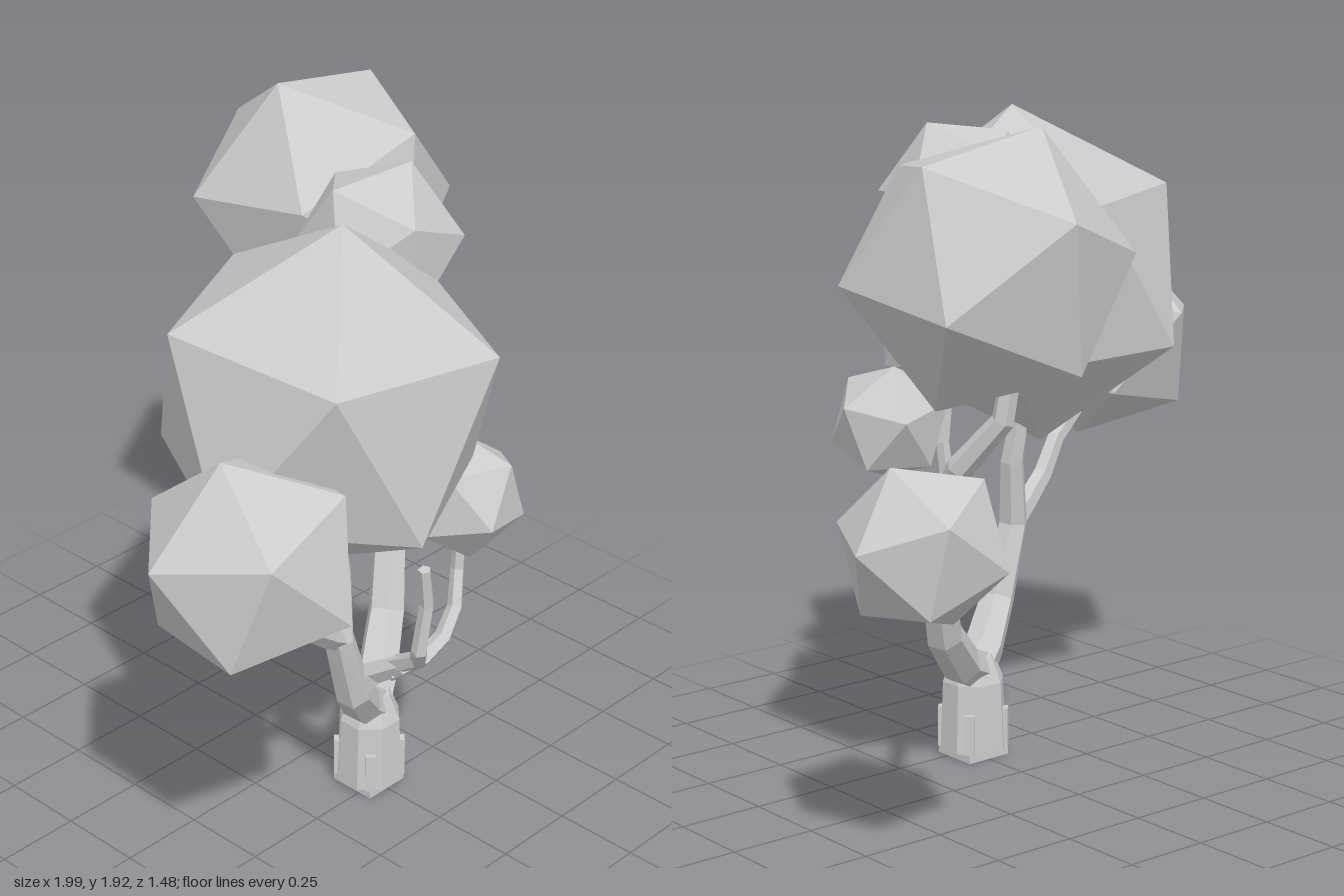
import * as THREE from 'three';

const V = (p) => new THREE.Vector3(...p);

export function createModel() {
  const tree = new THREE.Group();
  tree.name = 'tree';
  const material = new THREE.MeshStandardMaterial({ color: 0xcccccc, flatShading: true });

  function add(name, geometry, x = 0, y = 0, z = 0) {
    const mesh = new THREE.Mesh(geometry, material);
    mesh.name = name;
    mesh.position.set(x, y, z);
    tree.add(mesh);
    return mesh;
  }

  // Orthonormal frame from two neighbouring directions
  function frame(a, b) {
    const x = a.clone().normalize();
    const z = a.clone().cross(b).normalize();
    return new THREE.Matrix4().makeBasis(x, z.clone().cross(x), z);
  }

  // Icosahedral leaf cluster, turned so two adjacent corners point along d1 and d2
  const t = (1 + Math.sqrt(5)) / 2;
  const localFrame = frame(V([-1, t, 0]), V([1, t, 0])).transpose();
  function crown(name, centre, radius, d1, d2) {
    const g = new THREE.IcosahedronGeometry(radius, 0);
    g.applyMatrix4(frame(V(d1), V(d2)).multiply(localFrame));
    add(name, g, ...centre);
  }

  // Tapered faceted limb through a list of points, closed at both ends
  function limb(name, path, r0, r1, sides = 6) {
    const pts = path.map(V), n = pts.length;
    const pos = [], index = [];
    const normal = new THREE.Vector3(0, 0, 1);
    pts.forEach((p, i) => {
      const before = p.clone().sub(pts[Math.max(i - 1, 0)]).normalize();
      const after = pts[Math.min(i + 1, n - 1)].clone().sub(p).normalize();
      const tangent = before.add(after).normalize();
      normal.addScaledVector(tangent, -normal.dot(tangent)).normalize();
      const side = tangent.clone().cross(normal);
      const r = THREE.MathUtils.lerp(r0, r1, i / (n - 1));
      for (let k = 0; k < sides; k++) {
        const a = (k / sides) * Math.PI * 2;
        const q = p.clone().addScaledVector(normal, r * Math.cos(a)).addScaledVector(side, r * Math.sin(a));
        pos.push(q.x, q.y, q.z);
        if (i < n - 1) {
          const A = i * sides + k, B = i * sides + (k + 1) % sides;
          index.push(A, B, A + sides, B, B + sides, A + sides);
        }
      }
    });
    const last = (n - 1) * sides;
    for (let k = 1; k < sides - 1; k++) {
      index.push(0, k + 1, k, last, last + k, last + k + 1);
    }
    const g = new THREE.BufferGeometry();
    g.setAttribute('position', new THREE.Float32BufferAttribute(pos, 3));
    g.setIndex(index);
    g.computeVertexNormals();
    add(name, g);
  }

  // Trunk: square foot, eight-sided bark sleeve and a narrowing neck
  const tz = 0.222;
  add('trunkFoot', new THREE.BoxGeometry(0.145, 0.1, 0.145), 0, 0.05, tz);
  const sleeve = new THREE.CylinderGeometry(0.092, 0.1, 0.205, 8);
  sleeve.rotateY(Math.PI / 8);
  add('trunk', sleeve, 0, 0.1275, tz);
  const neck = new THREE.CylinderGeometry(0.06, 0.092, 0.08, 8);
  neck.rotateY(Math.PI / 8);
  add('trunkNeck', neck, 0, 0.27, tz);

  // Bark ridges around the foot
  for (let i = 0; i < 4; i++) {
    const a = Math.PI / 4 + (i * Math.PI) / 2;
    const ridge = add('barkRidge', new THREE.BoxGeometry(0.03, 0.12, 0.03),
      0.088 * Math.cos(a), 0.085, tz + 0.088 * Math.sin(a));
    ridge.rotation.y = -a;
  }

  // Main limbs
  limb('rightLimb', [[0.03, 0.24, 0.21], [-0.06, 0.31, 0.245], [-0.165, 0.425, 0.31], [-0.24, 0.645, 0.325],
    [-0.215, 0.84, 0.3], [-0.235, 1.05, 0.27]], 0.07, 0.028);
  limb('leftLimb', [[-0.03, 0.25, 0.235], [0.08, 0.3, 0.175], [0.21, 0.43, 0.09], [0.28, 0.635, 0.035],
    [0.375, 0.88, -0.13], [0.4, 1.0, -0.22], [0.345, 1.14, -0.335], [0.32, 1.35, -0.36]], 0.068, 0.026);

  // Side branches and twigs
  limb('leftBranch', [[0.375, 0.9, -0.14], [0.44, 0.865, -0.25], [0.51, 0.83, -0.32],
    [0.59, 0.84, -0.39], [0.73, 0.88, -0.49]], 0.025, 0.018, 5);
  limb('rightBranch', [[-0.235, 0.64, 0.325], [-0.31, 0.69, 0.35], [-0.4, 0.76, 0.38],
    [-0.47, 0.86, 0.4], [-0.62, 0.98, 0.43]], 0.034, 0.024, 5);
  limb('frontBranch', [[-0.175, 0.41, 0.3], [-0.135, 0.5, 0.36], [-0.12, 0.56, 0.45]], 0.04, 0.03, 5);
  limb('frontTwig', [[-0.13, 0.52, 0.41], [-0.04, 0.545, 0.455], [0.04, 0.58, 0.46], [0.1, 0.65, 0.45],
    [0.135, 0.75, 0.425], [0.14, 0.9, 0.43]], 0.03, 0.018, 5);
  limb('bareTwig', [[-0.12, 0.55, 0.43], [-0.14, 0.62, 0.53], [-0.2, 0.7, 0.585],
    [-0.19, 0.85, 0.6], [-0.21, 0.97, 0.605]], 0.028, 0.018, 5);

  // Leaf clusters
  crown('largeCrown', [-0.27, 1.395, 0.3], 0.497, [0.025, 0.495, 0.035], [0.21, 0.185, 0.41]);
  crown('leftCrown', [0.43, 1.558, -0.38], 0.391, [-0.145, 0.362, -0.04], [0.06, 0.245, 0.3]);
  crown('rightCrown', [-0.7, 1.143, 0.45], 0.311, [-0.07, 0.302, -0.03], [-0.3, 0.062, -0.055]);
  crown('topCrown', [0.109, 1.665, 0.13], 0.235, [0.216, 0.03, -0.065], [0.1, 0.205, 0.03]);
  crown('frontCrown', [0.14, 0.987, 0.43], 0.182, [0.165, 0.06, -0.01], [0.02, 0.165, -0.05]);
  crown('sideCrown', [0.765, 0.905, -0.525], 0.233, [0.23, 0.02, -0.03], [0.1, 0.205, 0.01]);

  return tree;
}
